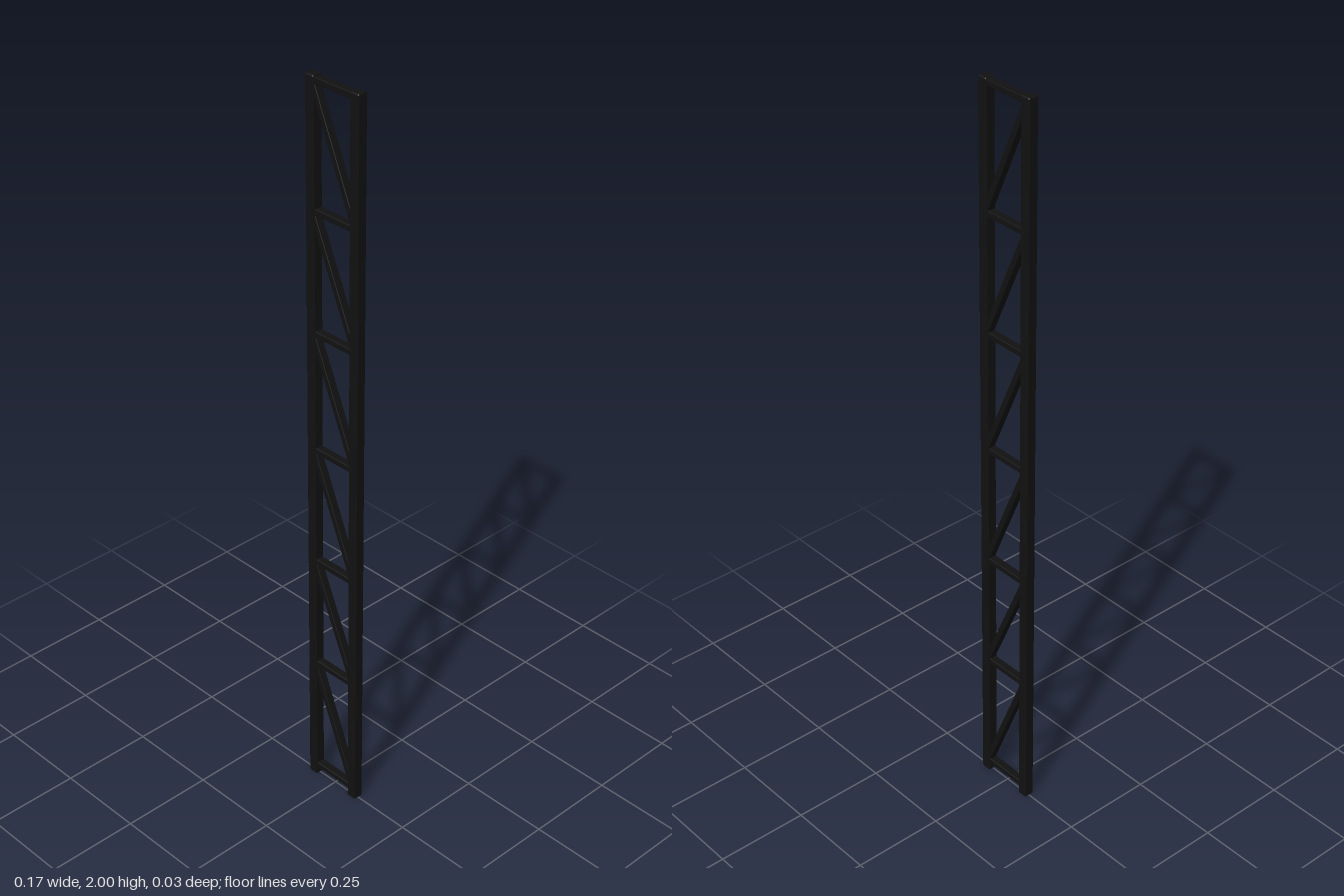
import * as THREE from 'three';
import { RoundedBoxGeometry } from 'three/addons/geometries/RoundedBoxGeometry.js';

const POST_X = 0.072, POST_SIZE = 0.028;
const BAR_THICK = 0.016, BAR_DEPTH = 0.021;
const RUNG_Y = [0.03, 0.37, 0.69, 1.02, 1.345, 1.665, 1.988];

export function createModel() {
  const model = new THREE.Group();
  model.name = 'latticeTruss';
  const black = new THREE.MeshStandardMaterial({ color: 0x111111 });

  // Square bar with softened edges running between two points in the xy plane
  function bar(name, x1, y1, x2, y2, thick, depth, radius) {
    const dx = x2 - x1, dy = y2 - y1;
    const geometry = new RoundedBoxGeometry(thick, Math.hypot(dx, dy), depth, 2, radius);
    const mesh = new THREE.Mesh(geometry, black);
    mesh.name = name;
    mesh.position.set((x1 + x2) / 2, (y1 + y2) / 2, 0);
    mesh.rotation.z = Math.atan2(-dx, dy);
    model.add(mesh);
  }

  // Two full-height posts
  bar('leftPost', POST_X, 0, POST_X, 2, POST_SIZE, POST_SIZE, 0.004);
  bar('rightPost', -POST_X, 0, -POST_X, 2, POST_SIZE, POST_SIZE, 0.004);

  // Horizontal rungs, with a diagonal brace in each bay
  RUNG_Y.forEach((y, i) => {
    bar('rung' + (i + 1), -POST_X, y, POST_X, y, BAR_THICK, BAR_DEPTH, 0.002);
    if (i > 0) {
      bar('brace' + i, -0.068, y - 0.005, 0.068, RUNG_Y[i - 1] + 0.005, BAR_THICK, BAR_DEPTH, 0.002);
    }
  });

  return model;
}
